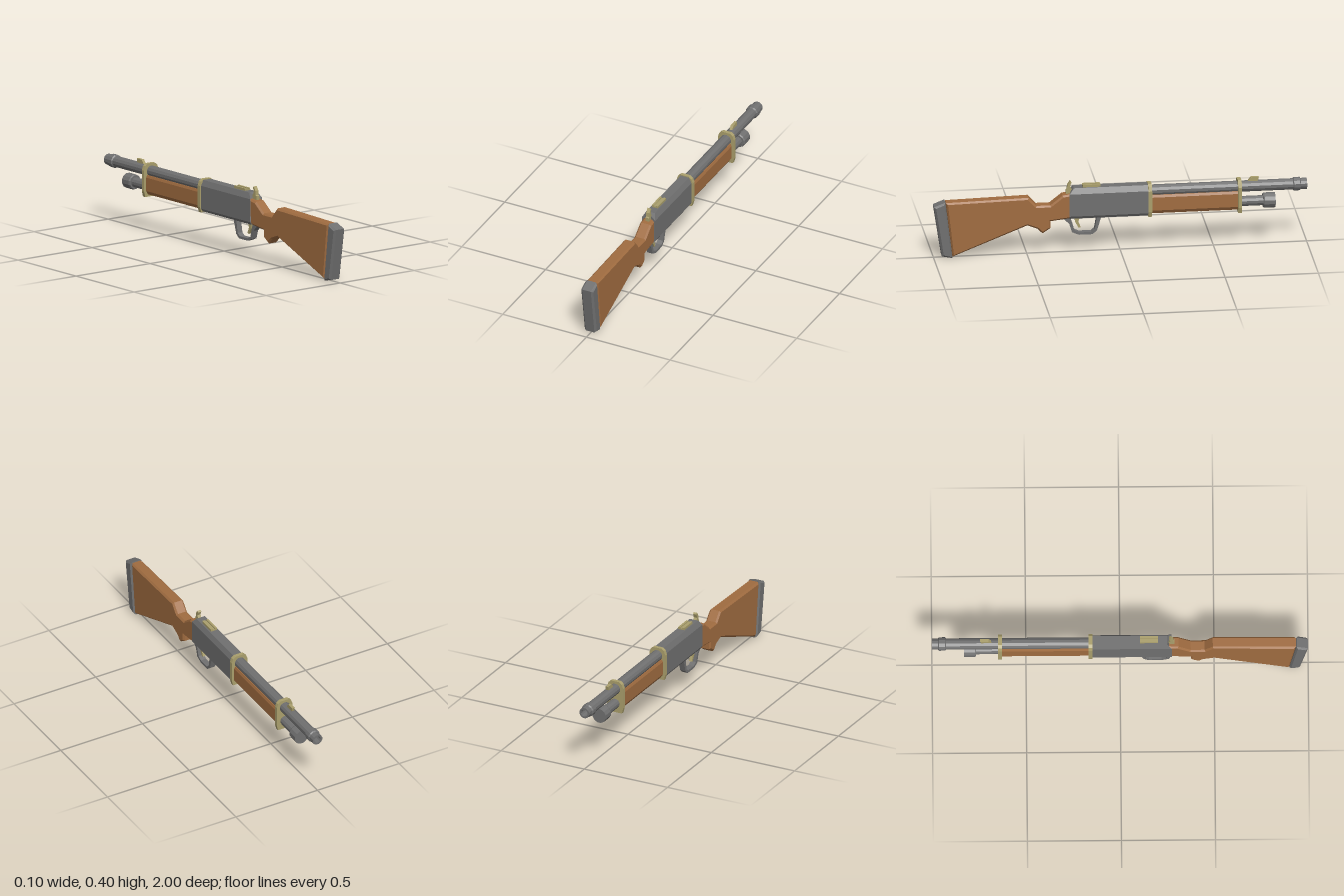
import * as THREE from 'three';

const mat = (color) => new THREE.MeshStandardMaterial({ color, flatShading: true });

export function createModel() {
  const group = new THREE.Group();
  const steel = mat(0x707070), wood = mat(0xa06c40), brass = mat(0xaa9f6c);

  const add = (name, geometry, material) => {
    const mesh = new THREE.Mesh(geometry, material);
    mesh.name = name;
    group.add(mesh);
    return mesh;
  };
  const toShape = (pts) => new THREE.Shape(pts.map(([a, b]) => new THREE.Vector2(a, b)));

  // Side outline given as [z, y], extruded across x, with chamfered edges
  function sideGeo(pts, halfWidth, bevel = 0, hole = null) {
    const shape = toShape(pts);
    if (hole) shape.holes.push(new THREE.Path(hole.map(([a, b]) => new THREE.Vector2(a, b))));
    const depth = 2 * (halfWidth - bevel);
    const geo = new THREE.ExtrudeGeometry(shape, {
      depth, bevelEnabled: bevel > 0, bevelThickness: bevel,
      bevelSize: bevel, bevelOffset: -bevel, bevelSegments: 1,
    });
    return geo.translate(0, 0, -depth / 2).rotateY(-Math.PI / 2);
  }

  // Right half of a cross-section given as [x, y], mirrored and extruded along z
  function sectionGeo(half, z0, z1) {
    const pts = [...half, ...half.map(([x, y]) => [-x, y]).reverse()];
    return new THREE.ExtrudeGeometry(toShape(pts), { depth: z1 - z0, bevelEnabled: false })
      .translate(0, 0, z0);
  }

  // Turned part along -z; points are [radius, distance forward]
  const turned = (pts, y) => new THREE.LatheGeometry(
    pts.map(([r, d]) => new THREE.Vector2(r, d)), 12, Math.PI / 12)
    .rotateX(-Math.PI / 2).translate(0, y, 0);

  // Shoulder stock with grip
  add('stock', sideGeo([
    [0.935, 0.312], [0.493, 0.322], [0.45, 0.274], [0.376, 0.274], [0.31, 0.326], [0.26, 0.333],
    [0.26, 0.197], [0.376, 0.184], [0.376, 0.145], [0.418, 0.117], [0.446, 0.145],
    [0.5, 0.166], [0.9, 0.008],
  ], 0.033, 0.009), wood);
  add('buttPad', sideGeo([
    [1, 0.292], [0.938, 0.316], [0.9, 0], [0.957, 0.012],
  ], 0.036, 0.01), steel);

  // Receiver, with its upper rear edge sloped forward
  const receiver = sectionGeo(
    [[0.03, 0.195], [0.04, 0.21], [0.04, 0.335], [0.025, 0.365]], -0.155, 0.275);
  const pos = receiver.attributes.position;
  for (let i = 0; i < pos.count; i++) {
    if (pos.getY(i) > 0.36 && pos.getZ(i) > 0.2) pos.setZ(i, 0.25);
  }
  receiver.computeVertexNormals();
  add('receiver', receiver, steel);

  // Fore-end and the two bands that hold it
  add('foreEnd', sectionGeo(
    [[0.022, 0.203], [0.034, 0.222], [0.034, 0.295], [0.028, 0.308]], -0.64, -0.15), wood);
  for (const [name, z] of [['rearBand', -0.167], ['frontBand', -0.648]]) {
    add(name, sectionGeo(
      [[0.04, 0.19], [0.048, 0.22], [0.048, 0.335], [0.04, 0.358], [0.024, 0.37]],
      z, z + 0.02), brass);
  }

  // Hollow barrel with muzzle collar
  add('barrel', turned([
    [0, 0.12], [0.03, 0.12], [0.03, 0.925], [0.036, 0.93], [0.036, 0.962], [0.03, 0.967],
    [0.03, 1], [0.02, 1], [0.02, 0.9], [0, 0.9],
  ], 0.327), steel);

  // Magazine tube and end cap
  add('magazineTube', turned([
    [0, 0.6], [0.027, 0.6], [0.027, 0.765], [0.037, 0.765], [0.041, 0.772],
    [0.041, 0.83], [0, 0.83],
  ], 0.242), steel);

  // Trigger guard and trigger
  add('triggerGuard', sideGeo([
    [0.315, 0.2], [0.273, 0.16], [0.259, 0.113], [0.222, 0.097], [0.15, 0.097],
    [0.125, 0.117], [0.1, 0.2],
  ], 0.016, 0, [
    [0.268, 0.197], [0.125, 0.197], [0.137, 0.125], [0.155, 0.11], [0.22, 0.11],
    [0.246, 0.122], [0.257, 0.165],
  ]), steel);
  add('trigger', sideGeo([
    [0.246, 0.2], [0.214, 0.2], [0.224, 0.168], [0.211, 0.137], [0.222, 0.133], [0.24, 0.165],
  ], 0.008), brass);

  // Hammer with curled spur
  add('hammer', sideGeo([
    [0.255, 0.322], [0.258, 0.352], [0.269, 0.37], [0.261, 0.392], [0.268, 0.4],
    [0.283, 0.378], [0.285, 0.355], [0.29, 0.35], [0.29, 0.322],
  ], 0.01), brass);

  // Rear sight: plate with two rails; front sight: slanted blade
  add('rearSightPlate', new THREE.BoxGeometry(0.036, 0.012, 0.095).translate(0, 0.367, 0.154), brass);
  for (const s of [-1, 1]) {
    add(s > 0 ? 'leftSightRail' : 'rightSightRail',
      new THREE.BoxGeometry(0.012, 0.01, 0.095).translate(s * 0.012, 0.373, 0.154), brass);
  }
  add('frontSight', sideGeo([
    [-0.68, 0.35], [-0.7, 0.377], [-0.743, 0.377], [-0.737, 0.35],
  ], 0.008), brass);

  return group;
}
